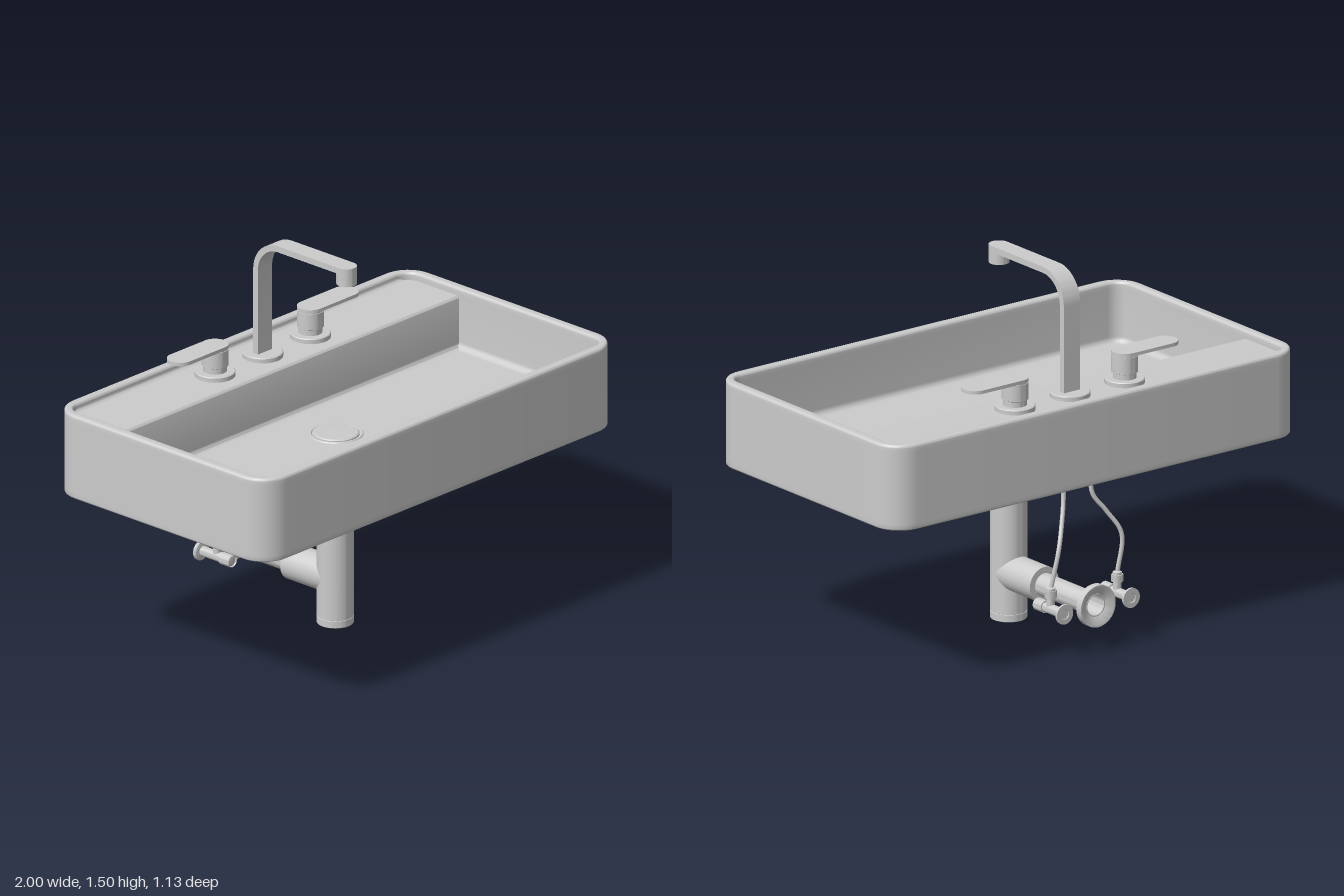
import * as THREE from 'three';
import { toCreasedNormals } from 'three/addons/utils/BufferGeometryUtils.js';

const grey = new THREE.MeshStandardMaterial({ color: 0xcccccc });
const greyThin = new THREE.MeshStandardMaterial({ color: 0xcccccc, side: THREE.DoubleSide });
const FLOOR = 0.785, LEDGE = 1.0;

function add(parent, name, geometry, x = 0, y = 0, z = 0, material = grey) {
  const mesh = new THREE.Mesh(geometry, material);
  mesh.name = name;
  mesh.position.set(x, y, z);
  parent.add(mesh);
  return mesh;
}

// Turned part: [radius, height] pairs, bottom to top
function turned(profile, segments = 40) {
  const points = profile.map(([r, y]) => new THREE.Vector2(r, y));
  return toCreasedNormals(new THREE.LatheGeometry(points, segments), 0.6);
}
// Plain capped cylinder from y0 to y1
const rod = (r, y0, y1) => turned([[0, y0], [r, y0], [r, y1], [0, y1]]);
// Turned part pointing backwards (height becomes -z)
const backwards = (geometry) => geometry.rotateX(-Math.PI / 2);

// One rounded-rectangle loop of the basin, moved in from the outer wall by inset
function basinLoop(inset, y) {
  const r = Math.max(0.12 - inset * 1.4, 0);
  const cx = 1 - inset - r, cz = 0.565 - inset - r;
  const signs = [[1, 1], [-1, 1], [-1, -1], [1, -1]];
  const loop = [];
  signs.forEach(([sx, sz], q) => {
    for (let i = 0; i <= 10; i++) {
      const t = (q + i / 10) * Math.PI / 2;
      loop.push([sx * cx + r * Math.cos(t), y, sz * cz + r * Math.sin(t)]);
    }
  });
  return loop;
}

function basinGeometry() {
  // Section from underside centre, up the outside, over the rim, down to the floor
  const section = [[0.565, 0.685], [0.03, 0.685]];
  const fillet = (cx, cy, r, from, to) => {
    for (let i = 0; i <= 5; i++) {
      const a = (from + (to - from) * i / 5) * Math.PI / 180;
      section.push([cx + r * Math.cos(a), cy + r * Math.sin(a)]);
    }
  };
  fillet(0.01, 0.695, 0.01, 270, 180);
  section.push([0, 0.71], [0, 1.005]);
  fillet(0.012, 1.02, 0.012, 180, 90);
  fillet(0.03, 1.02, 0.012, 90, 0);
  section.push([0.042, 1.005], [0.042, FLOOR + 0.035]);
  fillet(0.067, FLOOR + 0.025, 0.025, 180, 270);
  section.push([0.08, FLOOR], [0.565, FLOOR]);
  const loops = section.map(([inset, y]) => basinLoop(inset, y));
  const n = loops[0].length, index = [];
  for (let i = 0; i < loops.length - 1; i++) {
    for (let j = 0; j < n; j++) {
      const a = i * n + j, b = i * n + (j + 1) % n;
      index.push(a, a + n, b, b, a + n, b + n);
    }
  }
  const geometry = new THREE.BufferGeometry();
  geometry.setAttribute('position', new THREE.Float32BufferAttribute(loops.flat(2), 3));
  geometry.setIndex(index);
  return toCreasedNormals(geometry, 0.5);
}

// Side profile (z, y) extruded across the width
function acrossGeometry(shape, width) {
  const g = new THREE.ExtrudeGeometry(shape, { depth: width, bevelEnabled: false, curveSegments: 12 });
  return toCreasedNormals(g.translate(0, 0, -width / 2).rotateY(-Math.PI / 2), 0.5);
}

// Raised tap shelf: hollow fillets at back wall and floor, rounded front edge
function ledgeGeometry() {
  const s = new THREE.Shape();
  s.moveTo(-0.525, FLOOR - 0.01);
  s.lineTo(-0.525, LEDGE + 0.015);
  s.absarc(-0.508, LEDGE + 0.015, 0.015, Math.PI, Math.PI * 1.5, false);
  s.lineTo(-0.265, LEDGE);
  s.absarc(-0.265, LEDGE - 0.015, 0.015, Math.PI / 2, 0, true);
  s.lineTo(-0.25, FLOOR + 0.02);
  s.absarc(-0.23, FLOOR + 0.02, 0.02, Math.PI, Math.PI * 1.5, false);
  s.lineTo(-0.23, FLOOR - 0.01);
  return acrossGeometry(s, 1.918);
}

// Flat strip rising, bending forward and running out over the bowl
function spoutGeometry() {
  const s = new THREE.Shape();
  s.moveTo(-0.4, LEDGE);
  s.lineTo(-0.4, 1.37);
  s.absarc(-0.27, 1.37, 0.13, Math.PI, Math.PI / 2, true);
  s.lineTo(0.056, 1.5);
  s.lineTo(0.056, 1.475);
  s.lineTo(-0.27, 1.475);
  s.absarc(-0.27, 1.37, 0.105, Math.PI / 2, Math.PI, false);
  s.lineTo(-0.375, LEDGE);
  return acrossGeometry(s, 0.08);
}

// Thin lever with round ends, starting over the tap body
function leverGeometry() {
  const s = new THREE.Shape();
  s.absarc(0, 0, 0.052, Math.PI / 2, Math.PI * 1.5, false);
  s.absarc(0.196, 0, 0.052, -Math.PI / 2, Math.PI / 2, false);
  const g = new THREE.ExtrudeGeometry(s, { depth: 0.014, bevelEnabled: false, curveSegments: 20 });
  return toCreasedNormals(g.rotateX(-Math.PI / 2), 0.5);
}

export function createModel() {
  const model = new THREE.Group();
  model.name = 'washbasin';

  add(model, 'basin', basinGeometry());
  add(model, 'tapLedge', ledgeGeometry());

  // Basin outlet: shallow ring with a slightly domed plug
  add(model, 'drainRing', turned([[0.107, 0], [0.104, 0.004], [0.097, 0.004], [0.093, 0]]), 0, FLOOR, 0);
  add(model, 'drainPlug', turned([[0.091, 0], [0.091, 0.005], [0.086, 0.009], [0, 0.01]]), 0, FLOOR, 0);

  // Spout
  const faucet = new THREE.Group();
  faucet.name = 'faucet';
  model.add(faucet);
  const collar = () => turned([[0, 0], [0.079, 0], [0.079, 0.017], [0.076, 0.02], [0, 0.02]]);
  add(faucet, 'spoutCollar', collar(), 0, LEDGE, -0.387);
  add(faucet, 'spout', spoutGeometry());
  add(faucet, 'nozzle', turned([[0, 1.435], [0.032, 1.435], [0.032, 1.426], [0.04, 1.426], [0.04, 1.5], [0, 1.5]]), 0, 0, 0.056);

  // Left and right taps
  for (const side of [1, -1]) {
    const tap = new THREE.Group();
    tap.name = side > 0 ? 'leftTap' : 'rightTap';
    tap.position.set(side * 0.268, LEDGE, -0.387);
    if (side < 0) tap.rotation.y = Math.PI;
    add(tap, 'tapCollar', collar());
    add(tap, 'tapBody', turned([[0.046, 0.02], [0.046, 0.042], [0.052, 0.045], [0.052, 0.111], [0.049, 0.111], [0.049, 0.117]]));
    add(tap, 'lever', leverGeometry(), 0, 0.116, 0);
    model.add(tap);
  }

  // Waste pipe and trap
  const waste = new THREE.Group();
  waste.name = 'waste';
  waste.position.z = -0.004;
  model.add(waste);
  add(waste, 'wasteCollar', rod(0.071, 0.64, 0.69));
  add(waste, 'tailPipe', rod(0.046, 0.52, 0.65));
  add(waste, 'trapBody', turned([
    [0, 0], [0.07, 0], [0.072, 0.002], [0.072, 0.029], [0.07, 0.03], [0.07, 0.032], [0.072, 0.033],
    [0.072, 0.503], [0.07, 0.504], [0.07, 0.506], [0.072, 0.507], [0.072, 0.533], [0.07, 0.535], [0, 0.535],
  ], 48));
  add(waste, 'trapBranch', backwards(rod(0.0715, 0, 0.224)), 0, 0.19, 0);
  add(waste, 'wallPipe', backwards(turned([
    [0.046, 0.2], [0.046, 0.545], [0.041, 0.545], [0.041, 0.3], [0, 0.3],
  ])), 0, 0.19, 0, greyThin);
  add(waste, 'wallFlange', backwards(turned([
    [0.046, 0.531], [0.085, 0.531], [0.085, 0.561], [0.076, 0.561], [0.046, 0.543],
  ])), 0, 0.19, 0, greyThin);

  // Shut-off valves with flexible hoses
  const hoses = {
    left: [[0.065, 0.7], [0.071, 0.6], [0.095, 0.52], [0.132, 0.42], [0.163, 0.27]],
    right: [[-0.065, 0.7], [-0.072, 0.6], [-0.123, 0.525], [-0.176, 0.43], [-0.163, 0.27]],
  };
  const hoseDepth = [-0.43, -0.437, -0.458, -0.485, -0.475];
  for (const [side, path] of Object.entries(hoses)) {
    const points = path.map(([x, y], i) => new THREE.Vector3(x, y, hoseDepth[i]));
    const curve = new THREE.CatmullRomCurve3(points);
    add(model, side + 'Hose', new THREE.TubeGeometry(curve, 48, 0.009, 10), 0, 0, 0, greyThin);

    const valve = new THREE.Group();
    valve.name = side + 'Valve';
    valve.position.set(side === 'left' ? 0.163 : -0.163, 0.19, 0);
    model.add(valve);
    add(valve, 'valveKnob', backwards(turned([
      [0, 0.398], [0.02, 0.398], [0.022, 0.392], [0.025, 0.394], [0.025, 0.445], [0, 0.445],
    ])));
    add(valve, 'valveBody', backwards(rod(0.02, 0.44, 0.562)));
    add(valve, 'valveFlange', backwards(turned([
      [0.02, 0.55], [0.036, 0.552], [0.04, 0.556], [0.04, 0.565], [0.02, 0.565], [0.016, 0.56], [0, 0.56],
    ])));
    add(valve, 'valveStem', rod(0.016, 0, 0.055), 0, 0, -0.475);
    add(valve, 'hoseNut', new THREE.CylinderGeometry(0.024, 0.024, 0.03, 6), 0, 0.06, -0.475);
    add(valve, 'hoseFerrule', turned([[0.018, 0.07], [0.018, 0.084], [0.009, 0.089]]), 0, 0, -0.475);
  }
  return model;
}
